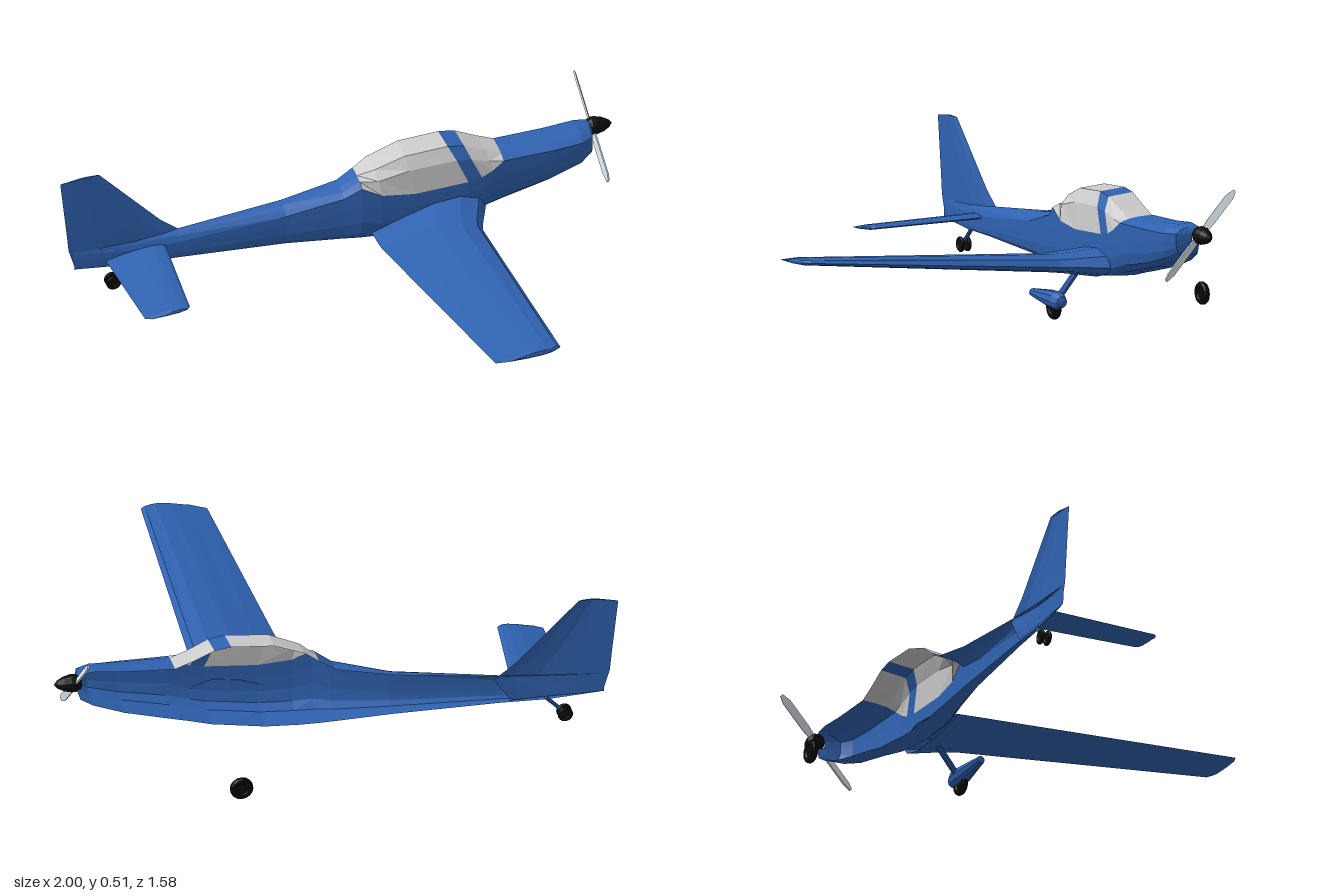
import * as THREE from 'three';

const Z0 = -0.492; // plane of symmetry: the airframe is an open half shell on its +z side

const mat = (color) => new THREE.MeshStandardMaterial({ color, flatShading: true, side: THREE.DoubleSide });

// Surface through a grid of points: sections[i][j] = [x, y, z]
function loft(sections) {
  const n = sections[0].length, index = [];
  for (let i = 0; i < sections.length - 1; i++) {
    for (let j = 0; j < n - 1; j++) {
      const a = i * n + j, b = a + n;
      index.push(a, b, a + 1, b, b + 1, a + 1);
    }
  }
  const geo = new THREE.BufferGeometry();
  geo.setAttribute('position', new THREE.Float32BufferAttribute(sections.flat(2), 3));
  geo.setIndex(index);
  geo.computeVertexNormals();
  return geo;
}

// Lifting surface: stations are [z, xTrailing, yTrailing, xLeading, yLeading, thickness]
const FOIL = [[0, 0], [0.3, 0.35], [0.55, 0.62], [0.78, 0.65], [0.94, 0.4], [1, 0],
  [0.94, -0.25], [0.75, -0.38], [0.4, -0.3], [0, 0]];
const wingLoft = (stations) => loft(stations.map(([z, xt, yt, xl, yl, t]) =>
  FOIL.map(([u, v]) => [xt + (xl - xt) * u, yt + (yl - yt) * u + v * t, z])));

// Straight rod between two points
function rod(a, b, r) {
  const p = new THREE.Vector3(...a), q = new THREE.Vector3(...b), d = q.clone().sub(p);
  const geo = new THREE.CylinderGeometry(r, r, d.length(), 8);
  geo.applyQuaternion(new THREE.Quaternion().setFromUnitVectors(new THREE.Vector3(0, 1, 0), d.normalize()));
  return geo.translate(...p.add(q).multiplyScalar(0.5).toArray());
}

// Wheel with rounded tread, axle along z
function wheel(r, w, x, y, z) {
  const h = w / 2;
  const profile = [[0, -h * 0.6], [r * 0.45, -h * 0.6], [r * 0.6, -h], [r * 0.88, -h], [r, -h * 0.4],
    [r, h * 0.4], [r * 0.88, h], [r * 0.6, h], [r * 0.45, h * 0.6], [0, h * 0.6]];
  return new THREE.LatheGeometry(profile.map((p) => new THREE.Vector2(...p)), 16)
    .rotateX(Math.PI / 2).translate(x, y, z);
}

export function createModel() {
  const group = new THREE.Group();
  const blue = mat(0x2f62b0), black = mat(0x0c0c0c), glass = mat(0xcccccc), pale = mat(0xdde6ee);
  const add = (name, geo, material) => {
    const m = new THREE.Mesh(geo, material);
    m.name = name;
    group.add(m);
    return m;
  };

  // Fuselage stations: x, bottom, half width, sill height, deck height
  const S = [
    [-0.95, 0.11, 0.003, 0.15, 0.18], [-0.75, 0.1, 0.02, 0.165, 0.195], [-0.58, 0.105, 0.033, 0.175, 0.21],
    [-0.2, 0.105, 0.066, 0.23, 0.26], [0, 0.1, 0.1, 0.285, 0.305], [0.06, 0.099, 0.117, 0.325, 0.345],
    [0.13, 0.1, 0.125, 0.29], [0.25, 0.107, 0.13, 0.28], [0.44, 0.138, 0.132, 0.295],
    [0.49, 0.152, 0.131, 0.305], [0.53, 0.163, 0.13, 0.325], [0.57, 0.173, 0.127, 0.355, 0.373],
    [0.75, 0.22, 0.12, 0.36, 0.383], [0.86, 0.262, 0.11, 0.365, 0.395], [0.905, 0.29, 0.085, 0.368, 0.39],
    [0.92, 0.335, 0.03, 0.365, 0.378],
  ];
  add('fuselageHull', loft(S.map(([x, b, w, s]) =>
    [[0, 0], [0.7, 0.04], [0.9, 0.17], [0.98, 0.4], [1, 0.7], [1, 1]]
      .map(([u, v]) => [x, b + (s - b) * v, Z0 + w * u]))), blue);
  const deck = (list) => loft(list.map(([x, , w, s, t]) =>
    [[1, 0], [0.75, 0.6], [0.45, 0.9], [0, 1]].map(([u, v]) => [x, s + (t - s) * v, Z0 + w * u])));
  add('rearDeck', deck(S.slice(0, 6)), blue);
  add('noseDeck', deck(S.slice(11)), blue);

  // Canopy columns from rear to front: sill, side, shoulder, crown as x, y, half width
  const C = [
    [[0.06, 0.325, 0.117], [0.06, 0.337, 0.088], [0.06, 0.343, 0.053], [0.06, 0.345, 0]],
    [[0.13, 0.29, 0.125], [0.12, 0.345, 0.116], [0.115, 0.376, 0.085], [0.11, 0.383, 0]],
    [[0.25, 0.28, 0.13], [0.23, 0.372, 0.122], [0.22, 0.418, 0.095], [0.22, 0.425, 0]],
    [[0.44, 0.295, 0.132], [0.4, 0.385, 0.124], [0.375, 0.432, 0.098], [0.37, 0.438, 0]],
    [[0.49, 0.305, 0.131], [0.455, 0.378, 0.124], [0.435, 0.423, 0.098], [0.43, 0.43, 0]],
    [[0.53, 0.325, 0.13], [0.52, 0.36, 0.122], [0.51, 0.39, 0.092], [0.505, 0.397, 0]],
    [[0.57, 0.355, 0.127], [0.57, 0.366, 0.095], [0.57, 0.371, 0.057], [0.57, 0.373, 0]],
  ].map((col) => col.map(([x, y, w]) => [x, y, Z0 + w]));
  add('canopy', loft(C.slice(0, 4)), glass);
  add('canopyFrame', loft(C.slice(3, 5)), blue);
  add('windshield', loft(C.slice(4)), glass);

  // Fin and rudder: y at trailing and leading edge, x of both, half thickness
  const fin = [[0.11, 0.11, -0.945, -0.62, 0.003], [0.19, 0.2, -0.97, -0.56, 0.012],
    [0.26, 0.26, -0.977, -0.64, 0.012], [0.465, 0.48, -1, -0.86, 0.008], [0.465, 0.48, -1, -0.86, 0]];
  add('fin', loft(fin.map(([yt, yl, xt, xl, w]) => [[1, 0], [0.85, 0.7], [0.6, 1], [0.3, 0.6], [0, 0]]
    .map(([u, v]) => [xt + (xl - xt) * u, yt + (yl - yt) * Math.min(1, u * 1.6), Z0 + w * v]))), blue);

  // Wing with root strake, and tailplane
  add('wing', wingLoft([
    [-0.365, 0.09, 0.148, 0.505, 0.185, 0.1], [-0.25, 0.09, 0.155, 0.46, 0.19, 0.07],
    [-0.2, 0.095, 0.16, 0.445, 0.192, 0.062], [0.77, 0.195, 0.265, 0.43, 0.29, 0.026],
    [0.785, 0.24, 0.272, 0.4, 0.289, 0.018], [0.787, 0.25, 0.275, 0.39, 0.288, 0]]), blue);
  add('tailplane', wingLoft([
    [-0.475, -0.84, 0.135, -0.625, 0.166, 0.022], [-0.065, -0.822, 0.137, -0.66, 0.158, 0.018],
    [-0.053, -0.8, 0.139, -0.67, 0.157, 0.012], [-0.05, -0.79, 0.141, -0.68, 0.156, 0]]), blue);

  // Main gear: teardrop wheel fairing, leg and the two wheels
  const pod = [[0, -0.16], [0.014, -0.155], [0.021, -0.1], [0.031, -0.02], [0.032, 0.03], [0.02, 0.06], [0, 0.068]];
  add('wheelFairing', new THREE.LatheGeometry(pod.map((p) => new THREE.Vector2(...p)), 10)
    .rotateZ(-Math.PI / 2).translate(0.395, 0.071, -0.2), blue);
  add('gearLeg', rod([0.365, 0.155, -0.305], [0.39, 0.08, -0.225], 0.012), blue);
  for (const z of [-0.2, 2 * Z0 + 0.2]) add('mainWheel', wheel(0.041, 0.022, 0.395, 0.041, z), black);

  // Tail wheel pair on a thin strut
  add('tailStrut', rod([-0.745, 0.105, Z0 + 0.004], [-0.8, 0.05, Z0 + 0.004], 0.007), blue);
  for (const s of [-1, 1]) add('tailWheel', wheel(0.027, 0.011, -0.81, 0.04, Z0 + s * 0.013), black);

  // Spinner and two bladed propeller
  const nose = [[0, 0.905], [0.022, 0.905], [0.032, 0.925], [0.032, 0.94], [0.026, 0.965], [0.014, 0.988], [0, 1]];
  add('spinner', new THREE.LatheGeometry(nose.map((p) => new THREE.Vector2(...p)), 14)
    .rotateZ(-Math.PI / 2).translate(0, 0.36, Z0), black);
  const prop = new THREE.Group();
  prop.name = 'propeller';
  const outline = new THREE.Shape([[-0.008, 0], [-0.014, 0.06], [-0.014, 0.17], [-0.005, 0.204], [0.006, 0.204],
    [0.014, 0.18], [0.014, 0.06], [0.008, 0]].map((p) => new THREE.Vector2(...p)));
  for (const k of [0, 1]) {
    const blade = new THREE.Mesh(new THREE.ExtrudeGeometry(outline, { depth: 0.006, bevelEnabled: false })
      .translate(0, 0, -0.003).rotateY(Math.PI / 2 - 0.35).rotateX(k * Math.PI), pale);
    blade.name = 'propellerBlade';
    prop.add(blade);
  }
  prop.position.set(0.925, 0.358, Z0);
  prop.quaternion.setFromUnitVectors(new THREE.Vector3(0, 1, 0), new THREE.Vector3(-0.018, 0.144, -0.144).normalize());
  group.add(prop);

  return group;
}
